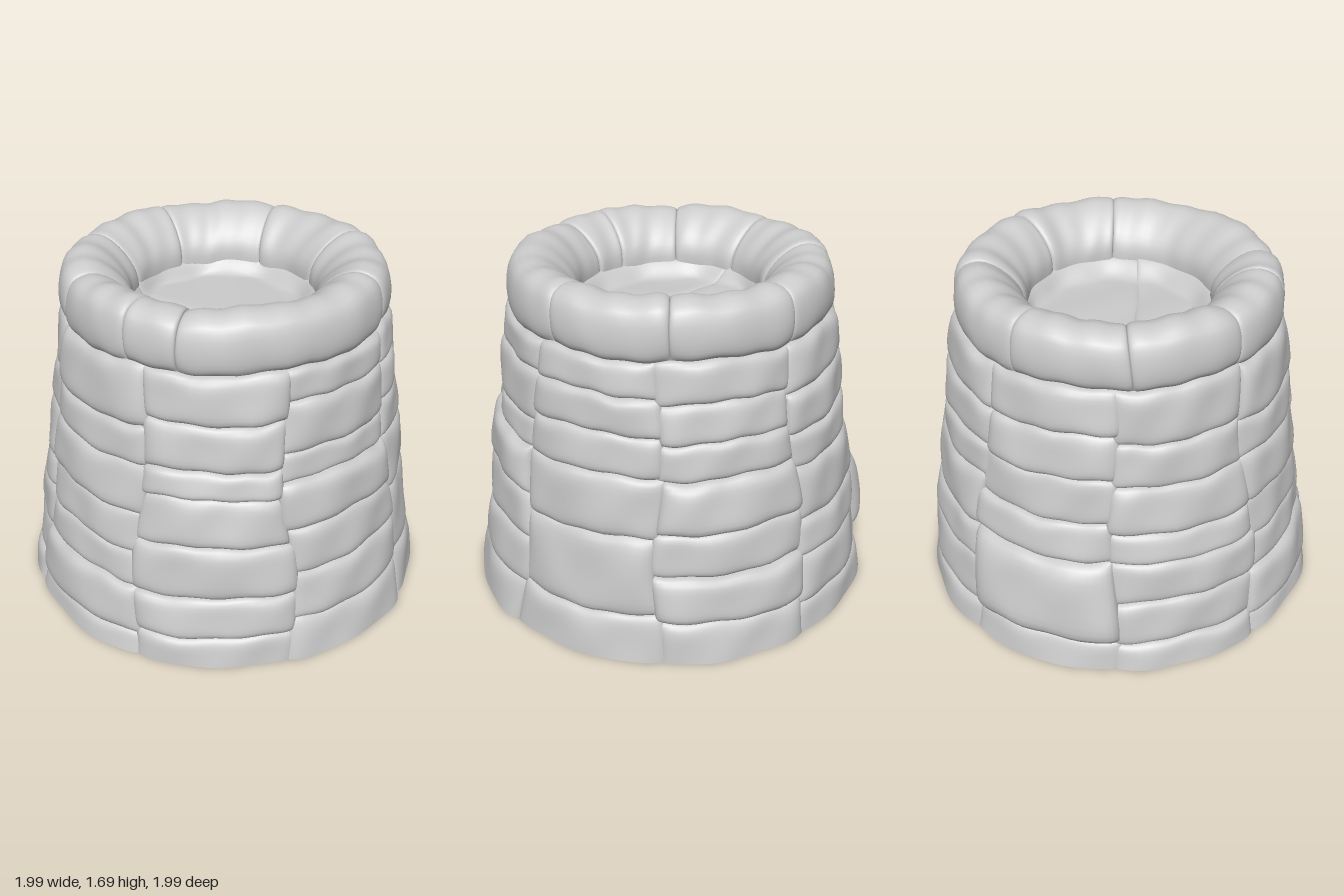
import * as THREE from 'three';

const material = new THREE.MeshStandardMaterial({ color: 0xcccccc, side: THREE.DoubleSide });
const rad = THREE.MathUtils.degToRad;

// Seeded random numbers
let seed = 11;
const rnd = (a, b) => {
  seed = (seed * 16807) % 2147483647;
  return a + (b - a) * seed / 2147483647;
};

// Pillow height over a patch: 0 at the joints, 1 over most of the face
const pillow = (s, t) => Math.pow((1 - Math.abs(s) ** 9) * (1 - Math.abs(t) ** 5), 0.45);

// Smooth grid patch; s and t run from -1 (or tMin) to 1 and crowd toward the joints
function patch(name, nS, nT, point, tMin = -1) {
  const pos = [], index = [];
  const a0 = Math.asin(tMin);
  for (let i = 0; i <= nS; i++) {
    const s = Math.sin(Math.PI * (i / nS - 0.5));
    for (let j = 0; j <= nT; j++) {
      const t = Math.sin(a0 + (Math.PI / 2 - a0) * j / nT);
      pos.push(...point(s, t));
    }
  }
  const row = nT + 1;
  for (let i = 0; i < nS; i++) for (let j = 0; j < nT; j++) {
    const a = i * row + j, b = a + row;
    index.push(a, b, b + 1, a, b + 1, a + 1);
  }
  const g = new THREE.BufferGeometry();
  g.setAttribute('position', new THREE.Float32BufferAttribute(pos, 3));
  g.setIndex(index);
  g.computeVertexNormals();
  const mesh = new THREE.Mesh(g, material);
  mesh.name = name;
  return mesh;
}

// Shared warp so that neighbouring joints wander together
function place(angle, y, r) {
  const a = angle + 0.025 * Math.sin(6 * y + 2 * Math.sin(3 * angle));
  const wave = 0.007 * Math.sin(7 * angle + 4 * y) + 0.004 * Math.sin(25 * angle + 9 * y);
  const h = y + Math.min(1, y * 6) * wave;
  return [r * Math.sin(a), h, r * Math.cos(a)];
}

// Gentle hand-cut unevenness
const rough = (a, y) => 0.005 * Math.sin(11 * a + 9 * y) + 0.004 * Math.sin(17 * a - 13 * y);

// Course heights of the eight wall columns, from the front round by the left;
// proud lists how far single stones stand out or sit back
const columns = [
  { ys: [0, 0.1, 0.35, 0.52, 0.72, 0.96, 1.14, 1.42], proud: { 1: 0.015, 2: -0.01, 3: -0.01 } },
  { ys: [0, 0.14, 0.34, 0.6, 0.84, 0.97, 1.19, 1.42], proud: {} },
  { ys: [0, 0.2, 0.44, 0.67, 0.9, 1.03, 1.27, 1.42], proud: { 0: 0.01, 3: 0.01, 4: -0.02 } },
  { ys: [0, 0.22, 0.6, 0.89, 1.08, 1.26, 1.42], proud: {} },
  { ys: [0, 0.19, 0.42, 0.63, 0.88, 1.05, 1.23, 1.42], proud: { 1: 0.025, 3: 0.02 } },
  { ys: [0, 0.14, 0.38, 0.56, 0.83, 1.0, 1.2, 1.42], proud: {} },
  { ys: [0, 0.15, 0.57, 0.76, 0.98, 1.2, 1.42], proud: { 1: 0.04, 3: -0.01 } },
  { ys: [0, 0.13, 0.35, 0.56, 0.71, 0.95, 1.16, 1.42], proud: {} },
];

// Tapered wall of bulging stones that just meet their neighbours, open below
function makeWall() {
  const wall = new THREE.Group();
  wall.name = 'wall';
  columns.forEach(({ ys, proud }, c) => {
    const mid = c * Math.PI / 4, half = Math.PI / 8;
    for (let k = 0; k < ys.length - 1; k++) {
      const y0 = ys[k], y1 = ys[k + 1];
      const a0 = mid - half - rnd(0, 0.03), a1 = mid + half + rnd(0, 0.03);
      const depth = rnd(0.034, 0.046) + (proud[k] ?? 0);
      const tilt = rnd(-0.008, 0.004), twist = rnd(-0.008, 0.008);
      wall.add(patch('wallStone', 22, 14, (s, t) => {
        const u = k === 0 ? (t + 0.3) / 1.3 : (t + 1) / 2;
        const y = y0 + (y1 - y0) * u;
        const a = a0 + (a1 - a0) * (s + 1) / 2;
        const bump = depth + tilt * t + twist * s + rough(a, y);
        return place(a, y, 0.947 - 0.14 * y + bump * pillow(s, t));
      }, k === 0 ? -0.3 : -1));
    }
  });
  return wall;
}

// Rounded rim of large curved stones
function makeRim() {
  const rim = new THREE.Group();
  rim.name = 'rim';
  const profile = new THREE.SplineCurve([
    [0.745, 1.41], [0.77, 1.45], [0.775, 1.52], [0.76, 1.6], [0.725, 1.65],
    [0.65, 1.672], [0.57, 1.645], [0.49, 1.575], [0.445, 1.49], [0.44, 1.36],
  ].map(p => new THREE.Vector2(...p)));
  const cuts = [-23, 15, 34, 117, 162, 205, 258, 298, 337];
  for (let k = 0; k < cuts.length - 1; k++) {
    const a0 = rad(cuts[k]), a1 = rad(cuts[k + 1]), swell = rnd(0, 0.04);
    rim.add(patch('rimStone', 32, 30, (s, t) => {
      const p = profile.getPoint((t + 1) / 2);
      const a = a0 + (a1 - a0) * (s + 1) / 2;
      const end = Math.pow(1 - Math.abs(s) ** 10, 0.45);
      // Sink toward the core of the rim at the joints
      const edge = Math.min(1, 3 * (1 - t * t));
      const f = 1 + edge * (swell * end - 0.1 * (1 - end) + rough(a, p.y) * 2);
      return place(a, 1.5 + (p.y - 1.5) * f, 0.62 + (p.x - 0.62) * f);
    }));
  }
  return rim;
}

// Sunken floor: two slabs lapping along a slanting joint, with a ragged turned-up edge
function makeFloor() {
  const floor = new THREE.Group();
  floor.name = 'floor';
  const R = 0.46;
  [[0, -0.1], [Math.PI, 0.07]].forEach(([turn, offset]) => {
    const slab = patch('floorSlab', 36, 28, (s, t) => {
      const u = s * Math.sqrt(R * R - offset * offset);
      const arc = Math.sqrt(R * R - u * u);
      const v = offset + (arc - offset) * (t + 1) / 2;
      const a = Math.atan2(v, u) + turn;
      const ragged = 0.36 + 0.03 * Math.sin(a - 1) + 0.015 * Math.sin(9 * a);
      const dish = 0.07 * THREE.MathUtils.smoothstep(Math.hypot(u, v), ragged, R);
      const joint = 0.03 * Math.pow(1 - Math.max(0, -t) ** 8, 0.5);
      return [u, 1.35 + joint + dish + 0.004 * Math.sin(13 * u + 9 * v), -v];
    });
    slab.rotation.y = turn + rad(22);
    floor.add(slab);
  });
  return floor;
}

export function createModel() {
  seed = 11;
  const model = new THREE.Group();
  model.name = 'stoneTower';
  model.add(makeWall(), makeRim(), makeFloor());
  return model;
}
